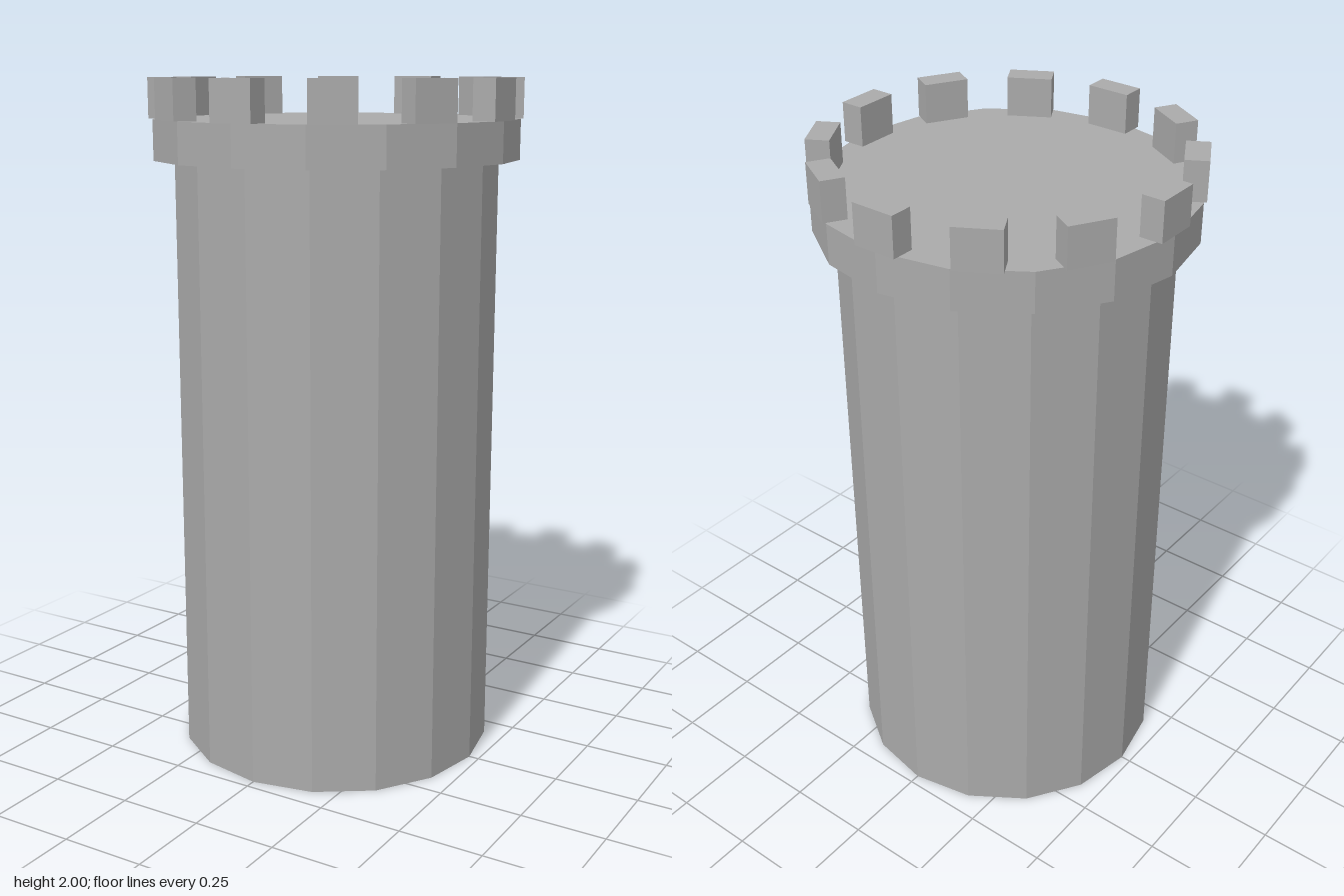
import * as THREE from 'three';

export function createModel() {
  const model = new THREE.Group();
  model.name = 'tower';
  const stone = new THREE.MeshStandardMaterial({ color: 0xaaaaaa });
  stone.name = 'stone grey';

  const add = (name, geometry, y) => {
    const flat = geometry.toNonIndexed();
    flat.computeVertexNormals(); // faceted sides
    const mesh = new THREE.Mesh(flat, stone);
    mesh.name = name;
    mesh.position.y = y;
    model.add(mesh);
    return mesh;
  };

  // Sixteen-sided shaft and the wider platform on top
  const shaftTop = 1.77, platformTop = 1.885, height = 2;
  add('shaft', new THREE.CylinderGeometry(0.47, 0.47, shaftTop, 16), shaftTop / 2);
  add('platform', new THREE.CylinderGeometry(0.53, 0.53, platformTop - shaftTop, 16),
    (shaftTop + platformTop) / 2);

  // Ring of twelve battlements facing outwards
  const count = 12, ringRadius = 0.5;
  for (let i = 0; i < count; i++) {
    const angle = (i / count) * Math.PI * 2;
    const merlon = add('battlement' + (i + 1),
      new THREE.BoxGeometry(0.129, height - platformTop, 0.067), (platformTop + height) / 2);
    merlon.position.x = Math.sin(angle) * ringRadius;
    merlon.position.z = Math.cos(angle) * ringRadius;
    merlon.rotation.y = angle;
  }
  return model;
}
